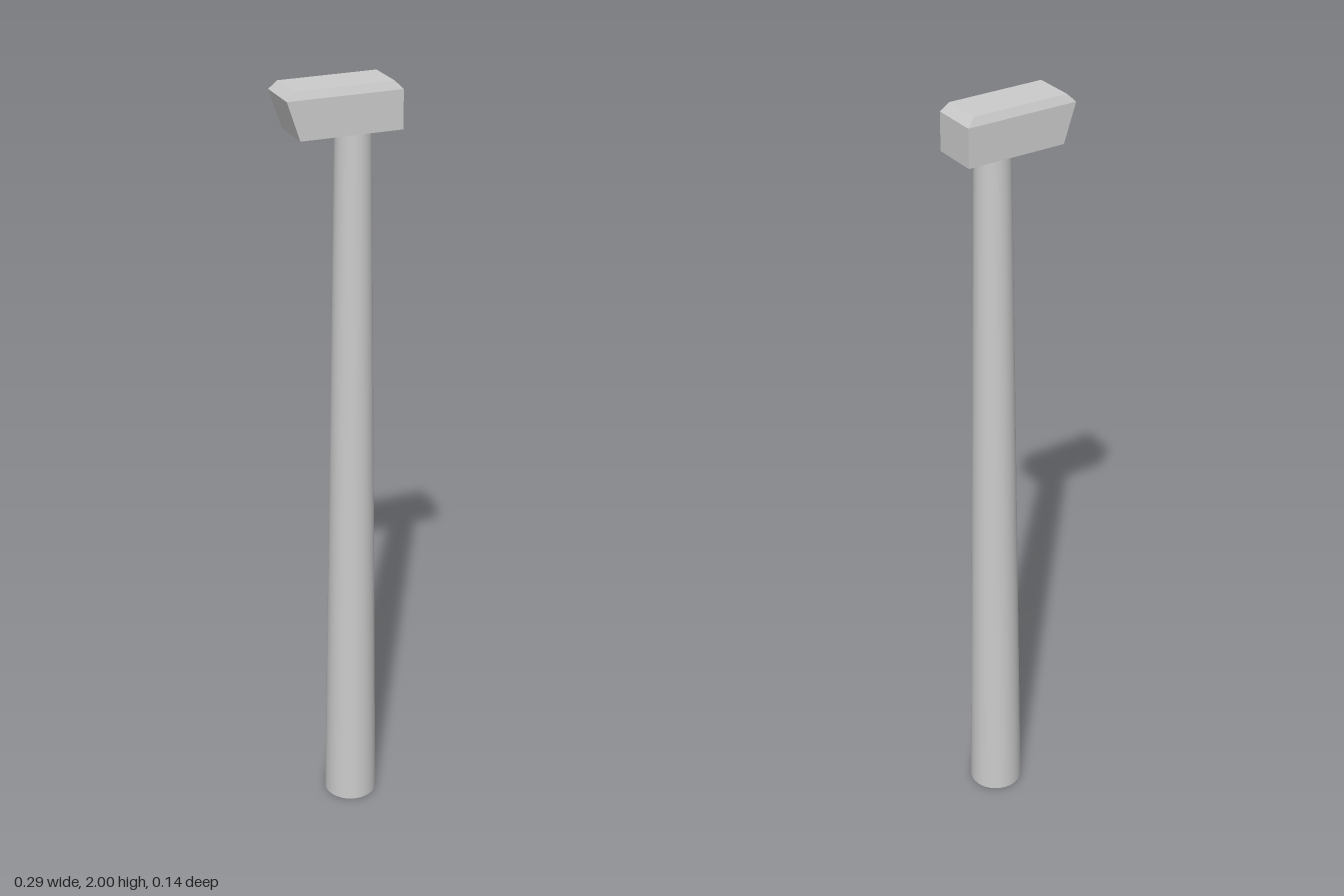
import * as THREE from 'three';

// Flat-faced solid lofted through rectangles [y, xMin, xMax, zHalf], bottom to top
function loftRectangles(levels) {
  const rings = levels.map(([y, x0, x1, z]) => [
    [x0, y, z], [x1, y, z], [x1, y, -z], [x0, y, -z],
  ]);
  const pos = [];
  const quad = (a, b, c, d) => pos.push(...a, ...b, ...c, ...a, ...c, ...d);
  for (let i = 0; i < rings.length - 1; i++) {
    const lo = rings[i], hi = rings[i + 1];
    for (let k = 0; k < 4; k++) {
      const n = (k + 1) % 4;
      quad(lo[k], lo[n], hi[n], hi[k]);
    }
  }
  const [a, b, c, d] = rings[0];
  quad(d, c, b, a);
  quad(...rings[rings.length - 1]);
  const geo = new THREE.BufferGeometry();
  geo.setAttribute('position', new THREE.Float32BufferAttribute(pos, 3));
  geo.computeVertexNormals();
  return geo;
}

export function createModel() {
  const model = new THREE.Group();
  model.name = 'hammer';

  // Tapered round handle, an open tube
  const handleHeight = 1.89;
  const handle = new THREE.Mesh(
    new THREE.CylinderGeometry(0.044, 0.07, handleHeight, 32, 1, true),
    new THREE.MeshStandardMaterial({ color: 0xcccccc, side: THREE.DoubleSide })
  );
  handle.name = 'handle';
  handle.position.set(0.043, handleHeight / 2, 0);
  model.add(handle);

  // Head: one slanted end, bevelled top
  const head = new THREE.Mesh(
    loftRectangles([
      [1.885, -0.112, 0.144, 0.06],
      [1.98, -0.144, 0.144, 0.06],
      [2.0, -0.124, 0.124, 0.052],
    ]),
    new THREE.MeshStandardMaterial({ color: 0xcccccc, flatShading: true })
  );
  head.name = 'head';
  model.add(head);

  return model;
}
